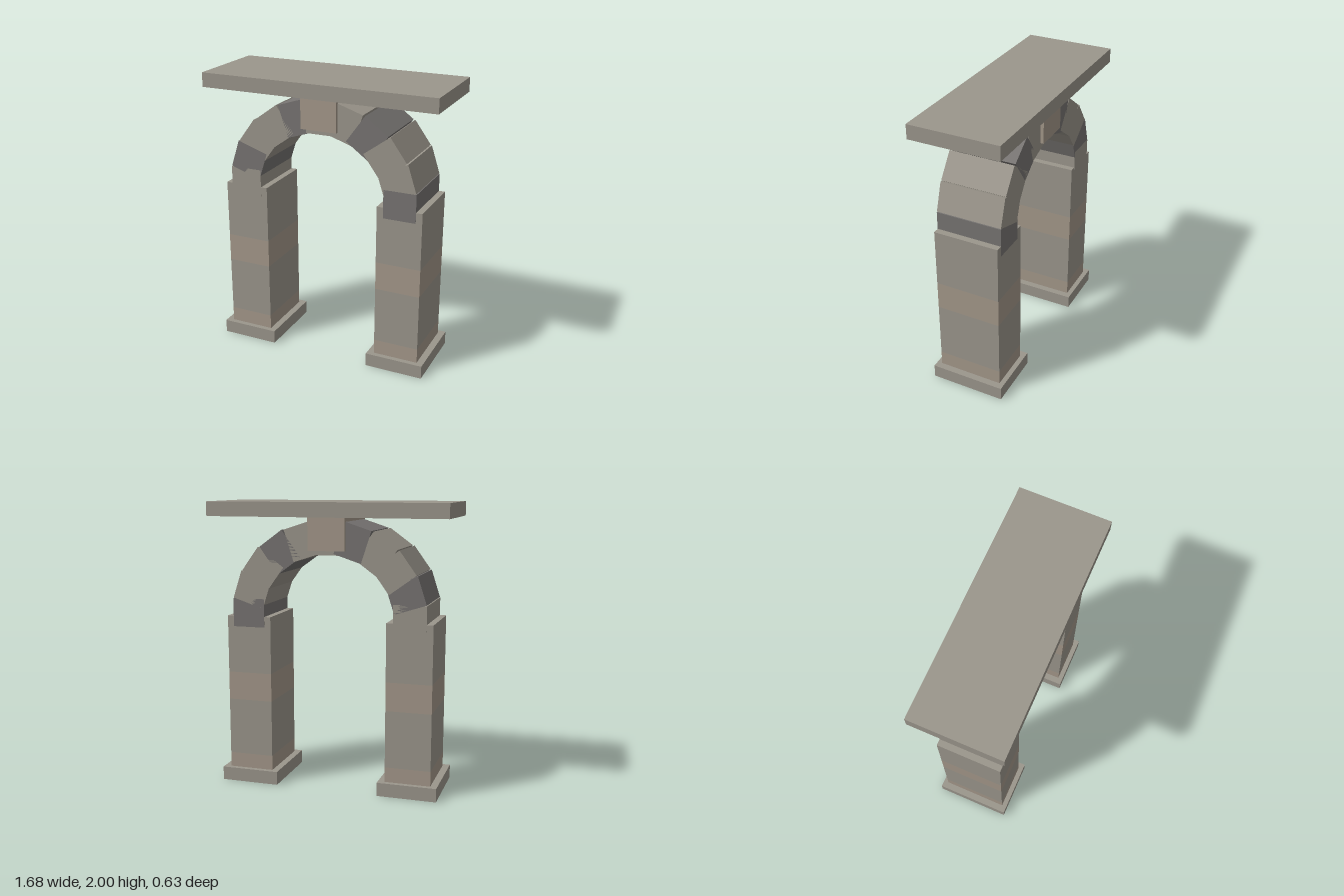
import * as THREE from 'three';

const material = (color) => new THREE.MeshStandardMaterial({ color, flatShading: true });

export function createModel() {
  const group = new THREE.Group();
  const stone = material(0x9b968c);
  const tan = material(0xa4988a);
  const dark = material(0x777472);

  const block = (name, w, h, d, x, y, mat, angle = 0) => {
    const mesh = new THREE.Mesh(new THREE.BoxGeometry(w, h, d), mat);
    mesh.name = name;
    mesh.position.set(x, y, 0);
    mesh.rotation.z = angle;
    group.add(mesh);
  };

  // Two pillars of stacked courses, each on a wider plinth
  const courses = [[0.095, 0.2, tan], [0.2, 0.6, stone], [0.6, 0.8, tan], [0.8, 1.205, stone]];
  for (const [side, s] of [['left', 1], ['right', -1]]) {
    const x = s * 0.575;
    block(`${side}Plinth`, 0.415, 0.095, 0.53, x, 0.0475, stone);
    courses.forEach(([y0, y1, mat], i) =>
      block(`${side}PillarCourse${i + 1}`, 0.32, y1 - y0, 0.46, x, (y0 + y1) / 2, mat));
  }

  // Slightly flattened arch of eleven stones, every third one dark
  for (let i = 0; i <= 10; i++) {
    const a = (i / 10) * Math.PI;
    block(`archStone${i + 1}`, 0.23, 0.2, 0.462,
      0.575 * Math.cos(a), 1.23 + 0.53 * Math.sin(a), i % 3 === 0 ? dark : stone, a);
  }

  // Keystone and the slab resting on it
  block('keystone', 0.26, 0.225, 0.505, 0, 1.7875, tan);
  block('topSlab', 1.68, 0.1, 0.63, 0, 1.95, stone);

  return group;
}
